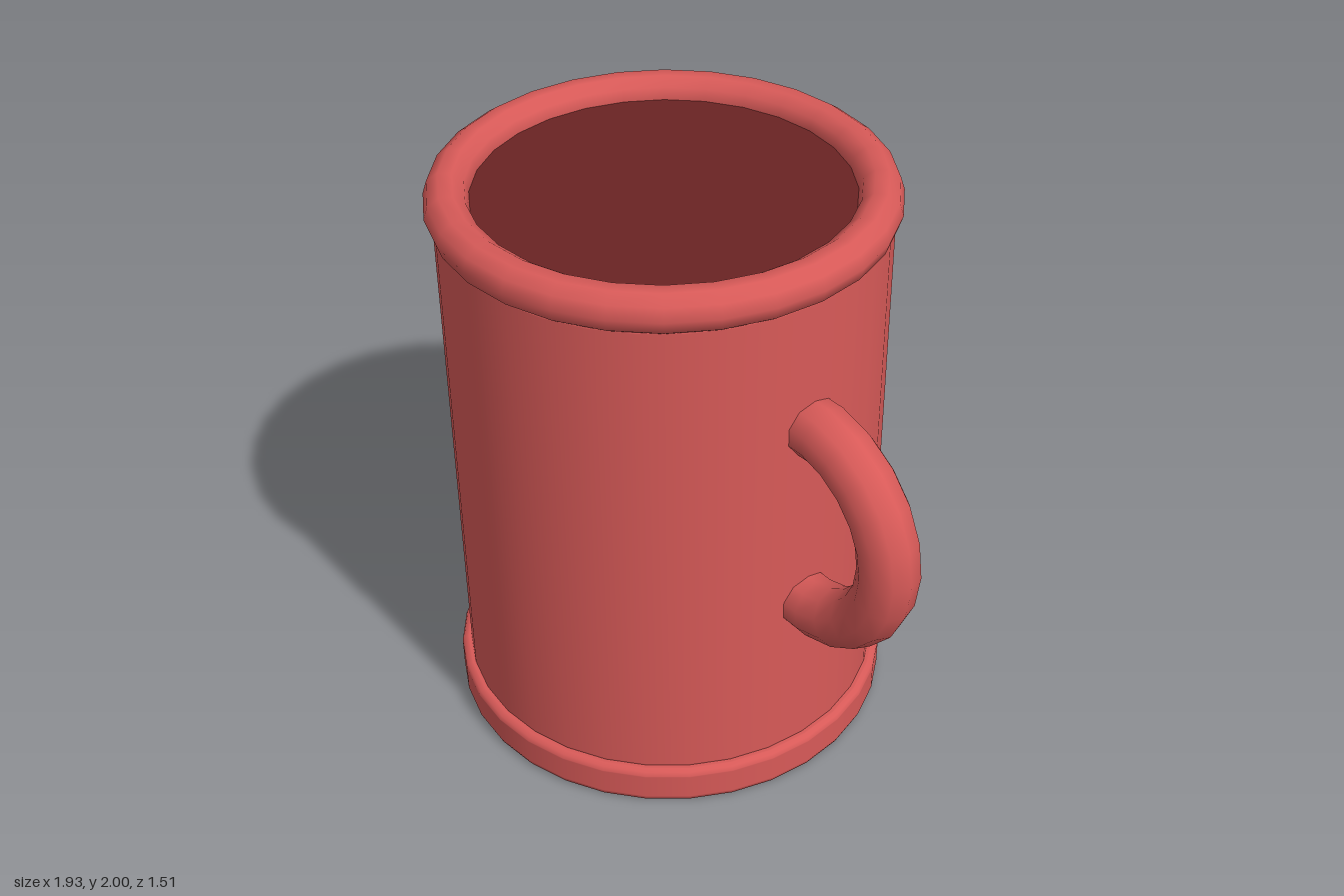
import * as THREE from 'three';

const red = new THREE.MeshStandardMaterial({ name: 'red glaze', color: 0xd85a58 });
const darkRed = new THREE.MeshStandardMaterial({ name: 'dark red inside', color: 0x6a2323 });
const beige = new THREE.MeshStandardMaterial({ name: 'beige badge', color: 0xc4b498 });

const CENTER_X = -0.21;

function addPart(parent, name, geometry, material, x = 0, y = 0, z = 0) {
  const mesh = new THREE.Mesh(geometry, material);
  mesh.name = name;
  mesh.position.set(x, y, z);
  parent.add(mesh);
  return mesh;
}

// Closed drum with small rounded edges; extra rings keep the faces flat.
function drum(radius, y0, y1, bevel, sides) {
  const e = 0.004;
  const points = [
    [0, y0], [radius - bevel - e, y0], [radius - bevel, y0],
    [radius - bevel * 0.3, y0 + bevel * 0.3],
    [radius, y0 + bevel], [radius, y0 + bevel + e],
    [radius, y1 - bevel - e], [radius, y1 - bevel],
    [radius - bevel * 0.3, y1 - bevel * 0.3],
    [radius - bevel, y1], [radius - bevel - e, y1], [0, y1],
  ].map(([x, y]) => new THREE.Vector2(x, y));
  return new THREE.LatheGeometry(points, sides);
}

export function createModel() {
  const model = new THREE.Group();
  model.name = 'mug';

  const cup = new THREE.Group();
  cup.name = 'cup';
  cup.position.x = CENTER_X;
  model.add(cup);

  // Wall and foot
  addPart(cup, 'body', drum(0.722, 0.12, 1.9, 0.02, 32), red);
  addPart(cup, 'foot', drum(0.756, 0, 0.138, 0.02, 32), red);

  // Rounded lip around a dark opening
  const lip = new THREE.TorusGeometry(0.676, 0.072, 10, 28);
  lip.rotateX(Math.PI / 2);
  addPart(cup, 'lip', lip, red, 0, 1.931, 0);
  const opening = new THREE.CircleGeometry(0.65, 32);
  opening.rotateX(-Math.PI / 2);
  addPart(cup, 'opening', opening, darkRed, 0, 1.935, 0);

  // Handle: a little over half a ring, with its ends sunk into the wall
  const arc = Math.PI * 1.1;
  const handle = new THREE.TorusGeometry(0.35, 0.1, 10, 12, arc);
  handle.rotateZ(-arc / 2);
  addPart(model, 'handle', handle, red, 0.515, 1.083, 0);

  // Round badge on the back with a small raised centre
  const badge = new THREE.Group();
  badge.name = 'badge';
  badge.position.set(0, 1.1, -0.738);
  cup.add(badge);
  const plate = new THREE.CylinderGeometry(0.143, 0.143, 0.016, 24);
  plate.rotateX(Math.PI / 2);
  addPart(badge, 'badgePlate', plate, beige);
  const boss = new THREE.SphereGeometry(0.055, 16, 10);
  boss.scale(1, 1, 0.3);
  addPart(badge, 'badgeBoss', boss, beige);

  return model;
}
